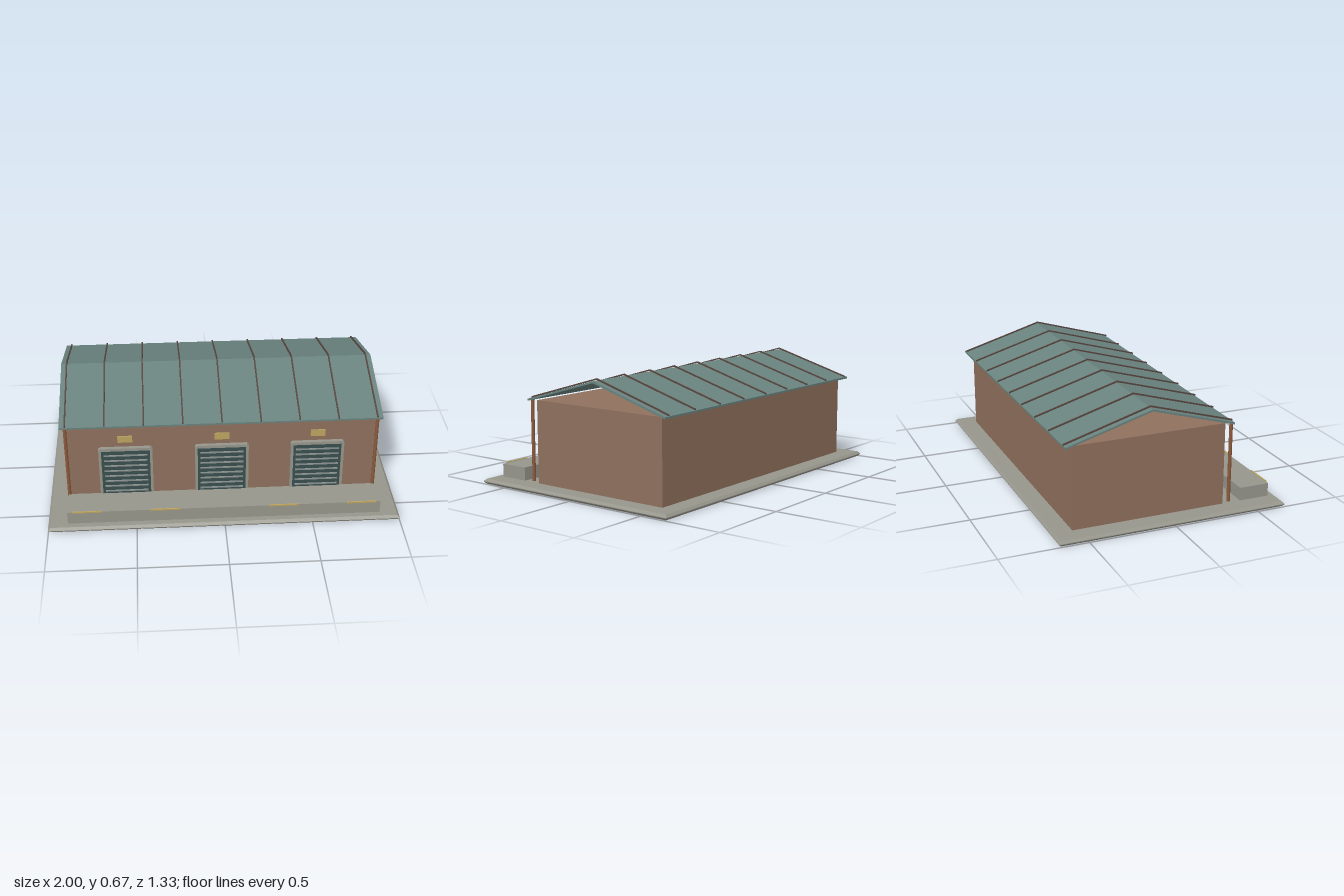
import * as THREE from 'three';

const mat = (name, color) => {
  const m = new THREE.MeshStandardMaterial({ color });
  m.name = name;
  return m;
};

export function createModel() {
  const model = new THREE.Group();
  model.name = 'warehouse';

  const concrete = mat('concrete', 0x97968c);
  const brick = mat('brick', 0x8f705d);
  const roofTeal = mat('roofTeal', 0x69837f);
  const seamMetal = mat('seamMetal', 0x57453f);
  const copper = mat('copper', 0x8c5a3c);
  const shutter = mat('shutter', 0x3a4e4e);
  const slatGrey = mat('slatGrey', 0x8a928f);
  const yellow = mat('yellow', 0xbda55f);

  const add = (name, geo, material, x = 0, y = 0, z = 0, parent = model) => {
    const m = new THREE.Mesh(geo, material);
    m.name = name;
    m.position.set(x, y, z);
    parent.add(m);
    return m;
  };
  const box = (w, h, d) => new THREE.BoxGeometry(w, h, d);

  // Ground slab with chamfered rim
  const b = 0.013, hw = 1 - b, hd = 0.667 - b;
  const slabShape = new THREE.Shape([
    [-hw, -hd], [hw, -hd], [hw, hd], [-hw, hd],
  ].map(([x, y]) => new THREE.Vector2(x, y)));
  const slab = new THREE.ExtrudeGeometry(slabShape, {
    depth: 0.004, bevelEnabled: true, bevelSize: b, bevelThickness: b, bevelSegments: 1,
  });
  slab.rotateX(-Math.PI / 2);
  add('groundSlab', slab, concrete, 0, b, 0);

  // Main walls
  add('walls', box(1.78, 0.475, 0.89), brick, 0, 0.2675, -0.11);

  // Folded gable sheet: extruded along x, eaves to ridge
  const chevron = (width, eaveTop, ridgeTop, thick) => {
    const zf = 0.375, zr = -0.112, zb = -0.6;
    const shape = new THREE.Shape([
      [zb, eaveTop - thick], [zr, ridgeTop - thick], [zf, eaveTop - thick],
      [zf, eaveTop], [zr, ridgeTop], [zb, eaveTop],
    ].map(([z, y]) => new THREE.Vector2(z, y)));
    const geo = new THREE.ExtrudeGeometry(shape, { depth: width, bevelEnabled: false });
    geo.rotateY(-Math.PI / 2);
    return geo.translate(width / 2, 0, 0);
  };
  add('roof', chevron(1.845, 0.514, 0.655, 0.011), roofTeal);

  // Standing seams just above the roof
  const seamGeo = chevron(0.008, 0.524, 0.667, 0.008);
  for (let i = -4; i <= 4; i++) add('roofSeam', seamGeo, seamMetal, i * 0.2225);

  // Downspouts at the front corners
  const pipeGeo = new THREE.CylinderGeometry(0.01, 0.01, 0.465, 10);
  for (const s of [-1, 1]) add('downspout', pipeGeo, copper, s * 0.89, 0.2725, 0.37);

  // Loading dock with yellow edge markings
  add('loadingDock', box(1.78, 0.076, 0.175), concrete, 0, 0.068, 0.5325);
  for (const x of [-0.78, -0.335, 0.335, 0.78])
    add('edgeMarking', box(0.165, 0.008, 0.008), yellow, x, 0.106, 0.621);

  // Roller doors: frame, shutter, slats, lamp above
  const frameShape = new THREE.Shape([
    [-0.155, 0.03], [0.155, 0.03], [0.155, 0.342], [0.145, 0.352], [-0.145, 0.352], [-0.155, 0.342],
  ].map(([x, y]) => new THREE.Vector2(x, y)));
  frameShape.holes.push(new THREE.Path([
    [-0.14, 0.031], [-0.14, 0.334], [0.14, 0.334], [0.14, 0.031],
  ].map(([x, y]) => new THREE.Vector2(x, y))));
  const frameGeo = new THREE.ExtrudeGeometry(frameShape, { depth: 0.024, bevelEnabled: false });
  const shutterGeo = box(0.28, 0.303, 0.014);
  const slatGeo = box(0.25, 0.008, 0.006);
  for (const x of [-0.555, 0, 0.555]) {
    const door = new THREE.Group();
    door.name = 'rollerDoor';
    door.position.set(x, 0, 0.334);
    model.add(door);
    add('doorFrame', frameGeo, concrete, 0, 0, 0, door);
    add('doorShutter', shutterGeo, shutter, 0, 0.1825, 0.008, door);
    for (let i = 0; i < 8; i++)
      add('doorSlat', slatGeo, slatGrey, 0, 0.055 + i * 0.035, 0.018, door);
    add('doorLamp', box(0.085, 0.042, 0.006), yellow, 0, 0.41, 0.015, door);
  }
  return model;
}
